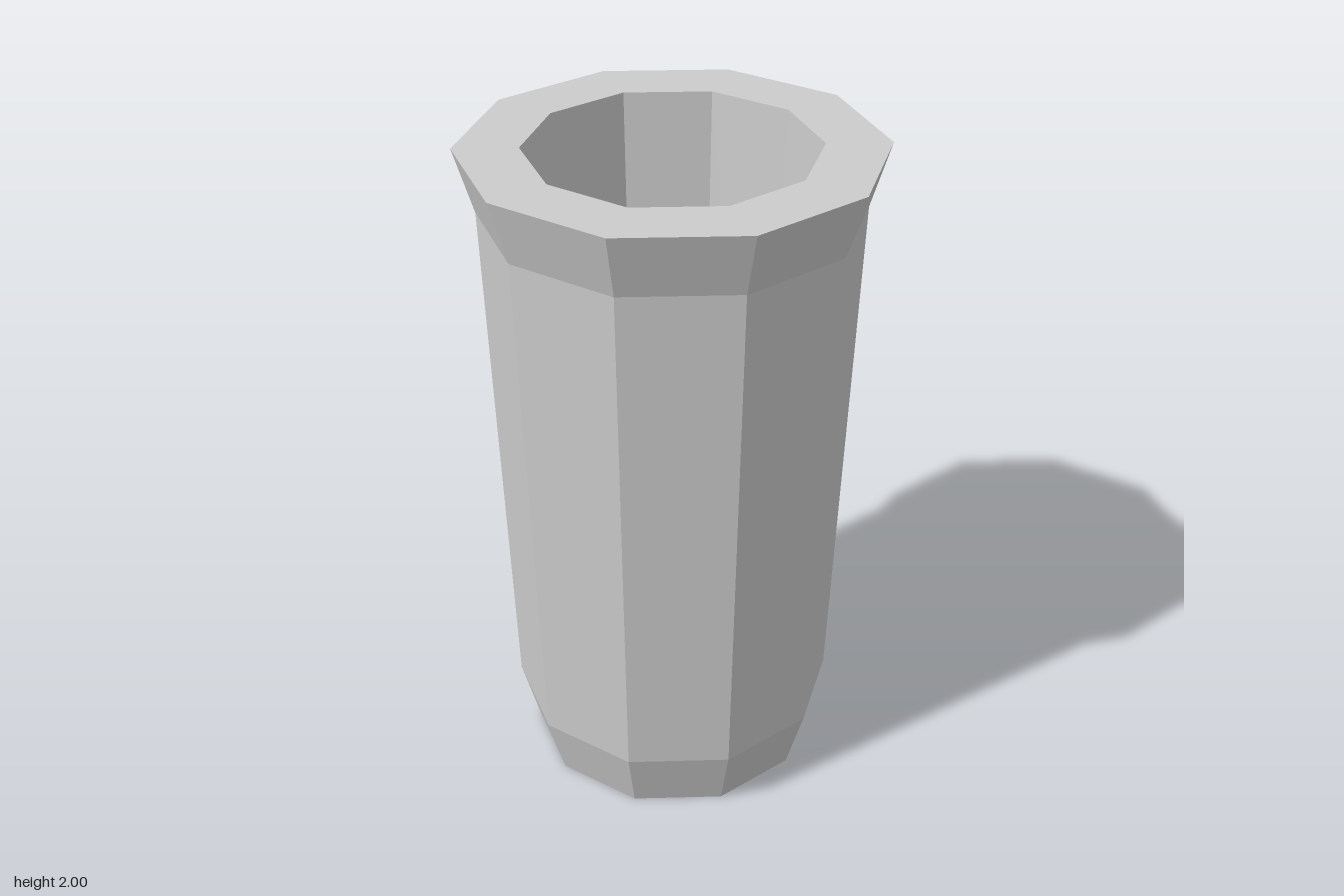
import * as THREE from 'three';

const SIDES = 10;

export function createModel() {
  const cup = new THREE.Group();
  cup.name = 'cup';
  const material = new THREE.MeshStandardMaterial({ color: 0xcccccc, flatShading: true });

  // Turn a [radius, height] profile into a ten-sided faceted part
  const addRing = (name, profile) => {
    const points = profile.map(([r, y]) => new THREE.Vector2(r, y));
    const mesh = new THREE.Mesh(new THREE.LatheGeometry(points, SIDES), material);
    mesh.name = name;
    cup.add(mesh);
  };

  // Closed underside and the narrowing foot
  addRing('foot', [[0, 0], [0.435, 0], [0.491, 0.2]]);
  // Tall, slightly tapered side
  addRing('outerWall', [[0.491, 0.2], [0.546, 1.81]]);
  // Flared lip with its flat top
  addRing('rim', [[0.546, 1.81], [0.603, 2], [0.417, 2]]);
  // Tapered hollow down to the inner floor
  addRing('interior', [[0.417, 2], [0.35, 0.2], [0, 0.2]]);

  return cup;
}
